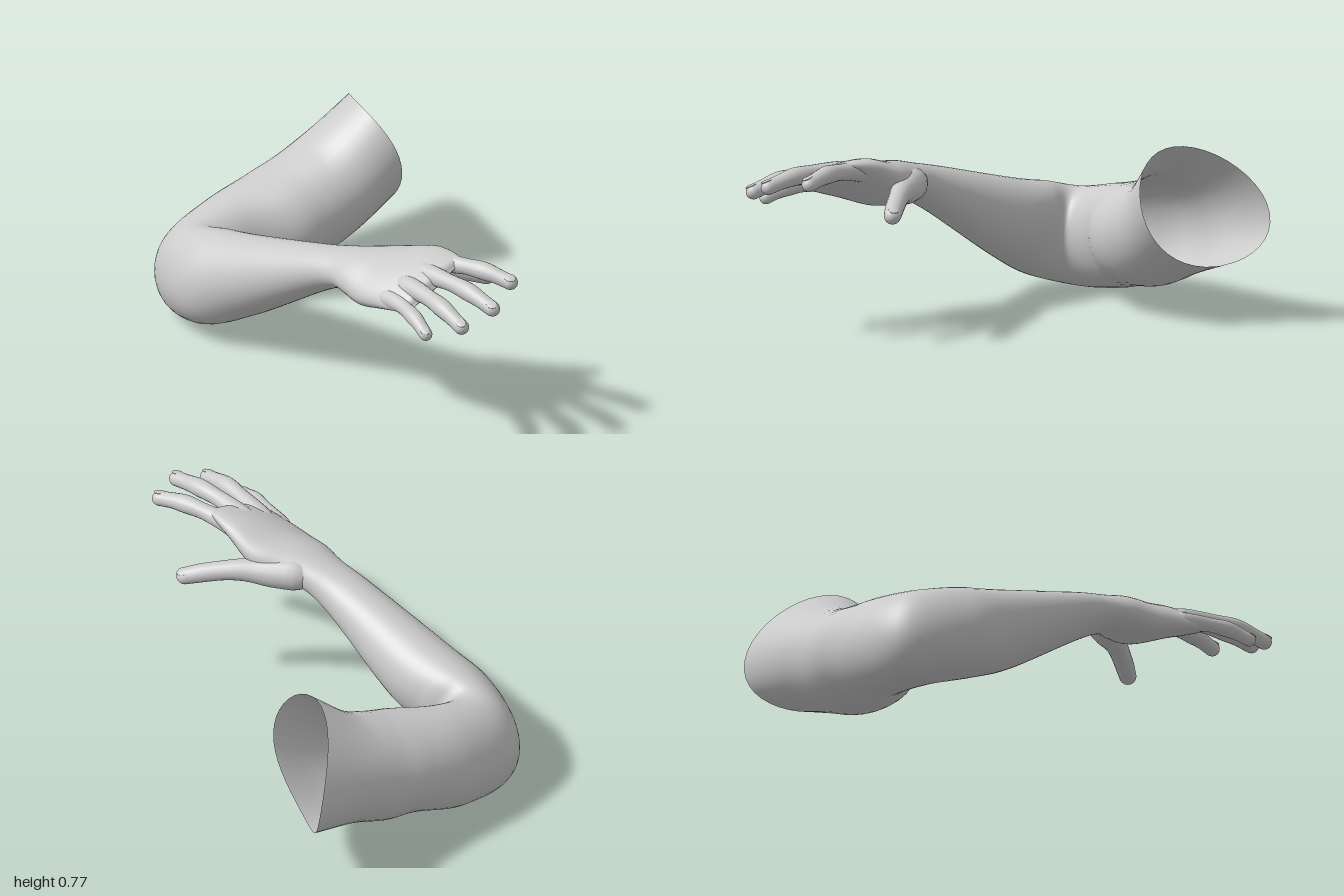
import * as THREE from 'three';

const V = (a) => new THREE.Vector3(...a);
const skin = new THREE.MeshStandardMaterial({ color: 0xcccccc, side: THREE.DoubleSide });

// Skin over elliptical rings { c: centre, u, v: half axes, w: saddle bend along x }
function loft(name, rings, sides) {
  const pos = [], index = [];
  rings.forEach(({ c, u, v, w = 0 }, i) => {
    for (let j = 0; j < sides; j++) {
      const a = (j / sides) * Math.PI * 2;
      const p = c.clone().addScaledVector(u, Math.cos(a)).addScaledVector(v, Math.sin(a));
      pos.push(p.x + w * Math.cos(2 * a), p.y, p.z);
      if (i === rings.length - 1) continue;
      const k = i * sides + j, n = i * sides + (j + 1) % sides;
      index.push(k, n, k + sides, n, n + sides, k + sides);
    }
  });
  const g = new THREE.BufferGeometry();
  g.setAttribute('position', new THREE.Float32BufferAttribute(pos, 3));
  g.setIndex(index);
  g.computeVertexNormals();
  const mesh = new THREE.Mesh(g, skin);
  mesh.name = name;
  return mesh;
}

// Smooth limb through key sections [centre, u, v]; the open rim is bent by rimBend
function limb(name, keys, steps, sides, rimBend) {
  const [c, u, v] = [0, 1, 2].map((k) =>
    new THREE.CatmullRomCurve3(keys.map((s) => V(s[k])), false, 'catmullrom', 0.5));
  const rings = [];
  for (let i = 0; i <= steps; i++) {
    const t = i / steps;
    const w = rimBend * Math.max(0, 1 - t * 10);
    rings.push({ c: c.getPoint(t), u: u.getPoint(t), v: v.getPoint(t), w });
  }
  return loft(name, rings, sides);
}

// Round-tipped finger along points, with radii from base to tip and a nail
function finger(name, points, radii, up) {
  const group = new THREE.Group();
  group.name = name;
  const path = new THREE.CatmullRomCurve3(points.map(V));
  const size = new THREE.CatmullRomCurve3(radii.map((r) => V([r, 0, 0])));
  const length = path.getLength(), tipR = radii[radii.length - 1];
  const frame = (s) => {
    const t = path.getTangentAt(s);
    const u = V(up).addScaledVector(t, -V(up).dot(t)).normalize();
    return { t, u, v: t.clone().cross(u) };
  };
  const rings = [];
  for (let i = 0; i <= 32; i++) {
    const s = 1 - (1 - i / 32) ** 2;
    const d = Math.min(1, (length * (1 - s)) / tipR);
    const r = size.getPoint(s).x * Math.sqrt(Math.max(0, 1 - (1 - d) ** 2));
    const { u, v } = frame(s);
    rings.push({ c: path.getPointAt(s), u: u.multiplyScalar(r), v: v.multiplyScalar(r) });
  }
  group.add(loft(name + 'Skin', rings, 18));

  const s = 1 - (tipR * 1.05) / length;
  const { t, u, v } = frame(s);
  const nail = new THREE.Mesh(new THREE.SphereGeometry(1, 14, 10), skin);
  nail.name = name + 'Nail';
  nail.scale.set(tipR * 0.68, tipR * 0.2, tipR * 0.85);
  nail.quaternion.setFromRotationMatrix(new THREE.Matrix4().makeBasis(v.clone().negate(), u, t));
  nail.position.copy(path.getPointAt(s)).addScaledVector(u, tipR * 0.84);
  group.add(nail);
  return group;
}

export function createModel() {
  const model = new THREE.Group();
  model.name = 'bentArm';

  // Open shoulder end, elbow bend, forearm, wrist and palm
  model.add(limb('armAndPalm', [
    [[0.50, 0.503, -0.715], [-0.06, 0.25, 0.01], [0.10, -0.03, -0.262]],
    [[0.30, 0.40, -0.73], [-0.05, 0.226, 0], [0.05, 0, -0.243]],
    [[0.14, 0.335, -0.745], [-0.04, 0.226, 0], [0.03, 0, -0.236]],
    [[0.00, 0.302, -0.76], [-0.035, 0.218, 0], [0.02, 0, -0.23]],
    [[-0.21, 0.25, -0.81], [-0.02, 0.222, 0], [-0.02, -0.03, -0.188]],
    [[-0.42, 0.216, -0.775], [0, 0.216, 0], [-0.10, -0.03, -0.15]],
    [[-0.475, 0.265, -0.59], [0, 0.198, -0.04], [-0.165, -0.045, -0.05]],
    [[-0.44, 0.345, -0.38], [0, 0.163, -0.05], [-0.16, -0.01, -0.02]],
    [[-0.395, 0.518, 0.00], [0, 0.097, -0.03], [-0.115, 0, 0]],
    [[-0.37, 0.575, 0.15], [0, 0.08, -0.02], [-0.115, -0.01, 0]],
    [[-0.35, 0.593, 0.25], [-0.015, 0.09, 0], [-0.145, -0.03, 0]],
    [[-0.325, 0.605, 0.36], [-0.02, 0.09, 0], [-0.178, -0.055, 0]],
    [[-0.316, 0.645, 0.49], [-0.025, 0.066, 0], [-0.175, -0.078, 0]],
    [[-0.316, 0.668, 0.62], [-0.014, 0.036, 0], [-0.16, -0.074, 0]],
    [[-0.314, 0.668, 0.655], [-0.001, 0.002, 0], [-0.13, -0.06, 0]],
  ], 126, 40, -0.04));

  // Four fingers and the thumb
  const up = [-0.3, 1, 0];
  const radii = [0.024, 0.046, 0.04, 0.035, 0.039, 0.033, 0.032];
  model.add(
    finger('littleFinger', [[-0.44, 0.59, 0.44], [-0.462, 0.608, 0.60], [-0.485, 0.60, 0.72], [-0.508, 0.56, 0.835]],
      radii.map((r) => r * 0.87), up),
    finger('ringFinger', [[-0.37, 0.635, 0.46], [-0.39, 0.66, 0.64], [-0.408, 0.66, 0.80], [-0.418, 0.618, 0.97]], radii, up),
    finger('middleFinger', [[-0.29, 0.67, 0.46], [-0.29, 0.697, 0.65], [-0.28, 0.70, 0.82], [-0.268, 0.668, 1.0]], radii, up),
    finger('indexFinger', [[-0.23, 0.68, 0.44], [-0.183, 0.712, 0.61], [-0.135, 0.723, 0.77], [-0.088, 0.70, 0.912]], radii, up),
    finger('thumb', [[-0.34, 0.595, 0.14], [-0.215, 0.592, 0.29], [-0.11, 0.595, 0.40], [-0.015, 0.575, 0.495], [0.074, 0.545, 0.58]],
      [0.02, 0.072, 0.066, 0.05, 0.042, 0.04, 0.034], [0.3, 1, 0]),
  );
  return model;
}
